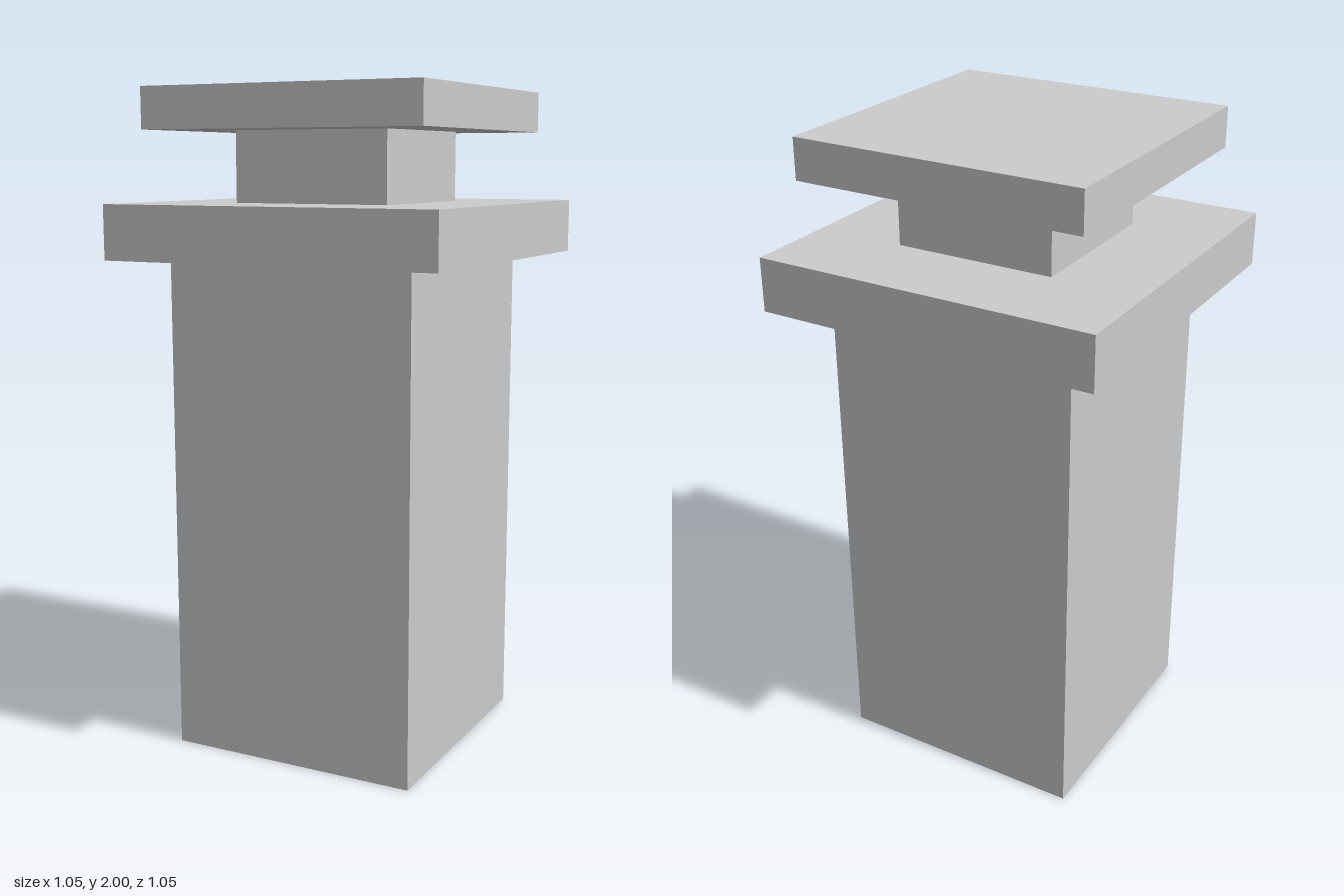
import * as THREE from 'three';

export function createModel() {
  const group = new THREE.Group();
  const material = new THREE.MeshStandardMaterial({ color: 0xcccccc });

  // Square slabs stacked from the ground up: name, width, bottom, top
  const slabs = [
    ['shaft', 0.778, 0, 1.505],
    ['ledge', 1.052, 1.505, 1.667],
    ['neck', 0.493, 1.667, 1.878],
    ['cap', 0.887, 1.878, 2],
  ];

  for (const [name, width, bottom, top] of slabs) {
    const mesh = new THREE.Mesh(new THREE.BoxGeometry(width, top - bottom, width), material);
    mesh.name = name;
    mesh.position.y = (bottom + top) / 2;
    group.add(mesh);
  }
  return group;
}
